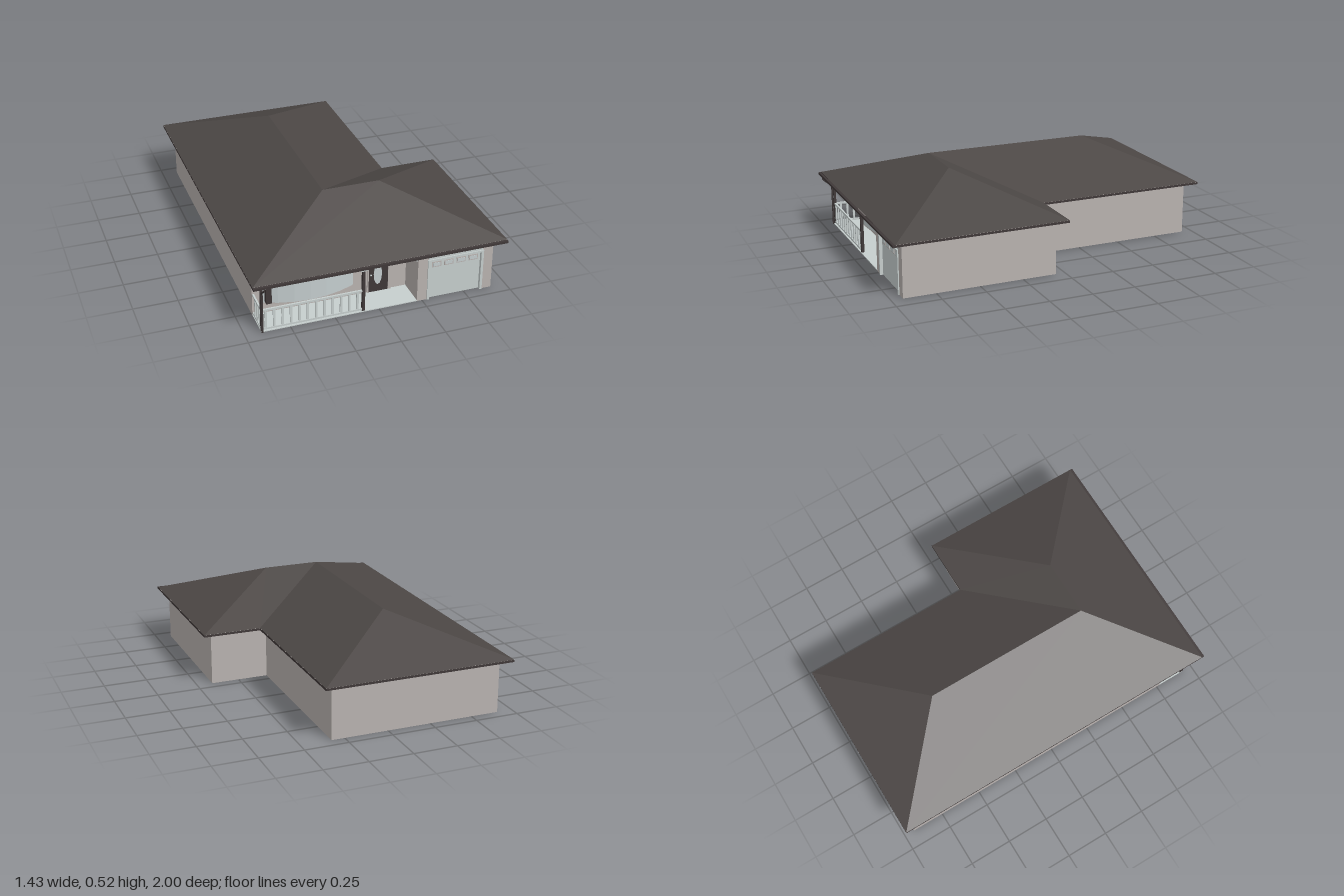
import * as THREE from 'three';

const mat = (name, color, side = THREE.FrontSide) => {
  const m = new THREE.MeshStandardMaterial({ color, side });
  m.name = name;
  return m;
};

export function createModel() {
  const house = new THREE.Group();
  house.name = 'house';
  const wallMat = mat('warm grey wall', 0xb8b2af);
  const roofMat = mat('dark roof', 0x4c4745);
  const darkMat = mat('dark trim', 0x3f3838);
  const paleMat = mat('pale trim', 0xc6cecd);
  const glassMat = mat('window glass', 0xc3cccd, THREE.DoubleSide);
  const ceilingMat = mat('ceiling', 0x676462);

  const add = (name, geometry, material, parent = house) => {
    const mesh = new THREE.Mesh(geometry, material);
    mesh.name = name;
    parent.add(mesh);
    return mesh;
  };
  // Box given by its low and high corners
  const box = (name, material, x0, x1, y0, y1, z0, z1, parent) => {
    const g = new THREE.BoxGeometry(x1 - x0, y1 - y0, z1 - z0);
    g.translate((x0 + x1) / 2, (y0 + y1) / 2, (z0 + z1) / 2);
    return add(name, g, material, parent);
  };
  const group = (name) => {
    const g = new THREE.Group();
    g.name = name;
    house.add(g);
    return g;
  };
  // Flat outline in plan, as [x, z] pairs
  const plan = (pts) => new THREE.Shape(pts.map(([x, z]) => new THREE.Vector2(x, z)));

  // Roof slopes: eave and ridge corners, each face a fan turned upward
  const E = 0.32, R = 0.525;
  const BL = [-0.715, E, -1], BR = [0.38, E, -1], IN = [0.38, E, 0], WR = [0.715, E, 0];
  const FR = [0.715, E, 0.985], FL = [-0.715, E, 0.985];
  const RB = [-0.165, R, -0.5], RF = [-0.165, R, 0.485], RW = [0.165, R, 0.485];
  const faces = [[BL, FL, RF, RB], [BL, RB, BR], [BR, RB, RF, IN],
    [IN, RF, RW, WR], [WR, RW, FR], [FL, FR, RW, RF]];
  const pos = [];
  for (const f of faces)
    for (let i = 1; i < f.length - 1; i++) {
      const [a, b, c] = [f[0], f[i], f[i + 1]];
      const up = (b[2] - a[2]) * (c[0] - a[0]) - (b[0] - a[0]) * (c[2] - a[2]) > 0;
      pos.push(...a, ...(up ? b : c), ...(up ? c : b));
    }
  const roofGeo = new THREE.BufferGeometry();
  roofGeo.setAttribute('position', new THREE.Float32BufferAttribute(pos, 3));
  roofGeo.computeVertexNormals();
  add('roofSlopes', roofGeo, roofMat);

  // Eave slab with pale underside, front gutter, and flat ceiling
  const eave = new THREE.ExtrudeGeometry(
    plan([BL, BR, IN, WR, FR, FL].map((p) => [p[0], p[2]])), { depth: 0.013, bevelEnabled: false });
  eave.rotateX(Math.PI / 2).translate(0, E - 0.0005, 0);
  add('eaves', eave, [wallMat, darkMat]);
  box('gutter', darkMat, -0.715, 0.715, 0.306, 0.319, 0.985, 1);
  const ceiling = new THREE.ShapeGeometry(plan([[-0.655, -0.935], [0.32, -0.935], [0.32, 0.06],
    [0.655, 0.06], [0.655, 0.93], [0.225, 0.93], [0.225, 0.768], [-0.655, 0.768]]));
  ceiling.rotateX(Math.PI / 2).translate(0, 0.304, 0);
  add('ceiling', ceiling, ceilingMat);

  // Outer walls
  const H = 0.308, T = 0.005, P = 0.77, F = 0.935;
  const walls = group('walls');
  box('leftWall', wallMat, -0.66, -0.66 + T, 0, H, -0.94, P, walls);
  box('backWall', wallMat, -0.66, 0.325, 0, H, -0.94, -0.94 + T, walls);
  box('innerRightWall', wallMat, 0.325 - T, 0.325, 0, H, -0.94, 0.055, walls);
  box('wingBackWall', wallMat, 0.325 - T, 0.66, 0, H, 0.055, 0.055 + T, walls);
  box('wingRightWall', wallMat, 0.66 - T, 0.66, 0, H, 0.055, F, walls);
  box('porchSideWall', wallMat, 0.22, 0.22 + T, 0, H, P - T, F, walls);
  // Porch wall around the bow window and door
  const W0 = -0.61, W1 = -0.09, WY0 = 0.072, WY1 = 0.275;
  box('porchWallEnd', wallMat, -0.66, W0, 0, H, P - T, P, walls);
  box('porchWallSill', wallMat, W0, W1, 0, WY0, P - T, P, walls);
  box('porchWallHead', wallMat, W0, W1, WY1, H, P - T, P, walls);
  box('porchWallRight', wallMat, W1, 0.22, 0, H, P - T, P, walls);
  // Garage front around its door
  box('garageWallLeft', wallMat, 0.22, 0.28, 0, H, F - T, F, walls);
  box('garageWallRight', wallMat, 0.6, 0.66, 0, H, F - T, F, walls);
  box('garageWallHead', paleMat, 0.28, 0.6, 0.24, H, F - T, F, walls);

  // Bow window: faceted curved glass, flat sill and head
  const win = group('bowWindow');
  const half = (W1 - W0) / 2, sag = 0.06, rad = (half * half + sag * sag) / (2 * sag);
  const ang = Math.asin(half / rad), cx = (W0 + W1) / 2, cz = P + sag - rad;
  const glass = new THREE.CylinderGeometry(rad, rad, WY1 - WY0, 6, 1, true, -ang, 2 * ang).toNonIndexed();
  glass.computeVertexNormals();
  glass.translate(cx, (WY0 + WY1) / 2, cz);
  add('windowGlass', glass, glassMat, win);
  const arc = [];
  for (let i = 0; i <= 6; i++) {
    const a = -ang + (i * ang) / 3;
    arc.push([cx + rad * Math.sin(a), cz + rad * Math.cos(a)]);
  }
  for (const [name, y] of [['windowSill', WY0], ['windowHead', WY1 + 0.005]]) {
    const g = new THREE.ExtrudeGeometry(plan(arc), { depth: 0.005, bevelEnabled: false });
    g.rotateX(Math.PI / 2).translate(0, y, 0);
    add(name, g, wallMat, win);
  }
  box('shutter', darkMat, -0.593, -0.562, 0.08, 0.27, P - 0.008, P + 0.04, win);

  // Front door with clipped top corners, oval light, frame and knob
  const door = group('frontDoor');
  const panel = new THREE.Shape();
  panel.moveTo(0, 0).lineTo(0.113, 0).lineTo(0.113, 0.205)
    .quadraticCurveTo(0.11, 0.228, 0.09, 0.23).lineTo(0.02, 0.23).quadraticCurveTo(0, 0.228, 0, 0.205);
  const doorGeo = new THREE.ExtrudeGeometry(panel, { depth: 0.016, bevelEnabled: false });
  doorGeo.translate(0, 0, P - 0.01);
  add('doorPanel', doorGeo, darkMat, door);
  const oval = new THREE.CylinderGeometry(1, 1, 0.02, 12);
  oval.rotateX(Math.PI / 2).scale(0.024, 0.066, 1).translate(0.053, 0.115, P - 0.002);
  add('doorLight', oval, glassMat, door);
  box('doorFrameLeft', wallMat, -0.008, 0, 0, 0.235, P, P + 0.008, door);
  box('doorFrameRight', wallMat, 0.113, 0.13, 0, 0.235, P, P + 0.008, door);
  box('doorFrameTop', wallMat, -0.008, 0.13, 0.23, 0.238, P, P + 0.008, door);
  const knob = new THREE.SphereGeometry(0.005, 10, 8);
  knob.translate(0.012, 0.115, P + 0.01);
  add('doorKnob', knob, paleMat, door);

  // Garage door with frame and a row of small windows
  const garage = group('garageDoor');
  box('garagePanel', paleMat, 0.29, 0.59, 0, 0.24, F - 0.02, F - 0.012, garage);
  box('garageFrameLeft', paleMat, 0.276, 0.29, 0, 0.25, F - 0.02, F + 0.006, garage);
  box('garageFrameRight', paleMat, 0.59, 0.604, 0, 0.25, F - 0.02, F + 0.006, garage);
  box('garageFrameTop', paleMat, 0.276, 0.604, 0.238, 0.25, F - 0.02, F + 0.006, garage);
  for (let i = 0; i < 4; i++) {
    const x = 0.305 + i * 0.072;
    box('garageWindowTrim', wallMat, x, x + 0.054, 0.192, 0.225, F - 0.013, F - 0.009, garage);
    box('garageWindow', glassMat, x + 0.006, x + 0.048, 0.198, 0.219, F - 0.023, F - 0.007, garage);
  }

  // Porch floor, scalloped valance and posts
  const porch = group('porch');
  box('porchFloor', paleMat, -0.66, 0.22, 0, 0.005, P, F, porch);
  const valance = new THREE.Shape();
  valance.moveTo(-0.655, H).lineTo(-0.655, 0.25);
  for (const [a, b] of [[-0.645, -0.37], [-0.37, -0.095], [-0.08, 0.22]]) {
    valance.lineTo(a, 0.25);
    valance.quadraticCurveTo((a + b) / 2, 0.302, b, 0.25);
  }
  valance.lineTo(0.22, H);
  const valGeo = new THREE.ExtrudeGeometry(valance, { depth: 0.008, bevelEnabled: false, curveSegments: 10 });
  valGeo.translate(0, 0, 0.92);
  add('valance', valGeo, paleMat, porch);
  box('cornerPost', darkMat, -0.66, -0.646, 0, H, 0.916, 0.93, porch);
  box('middlePost', darkMat, -0.096, -0.08, 0, 0.25, 0.916, 0.932, porch);

  // Downspout from the gutter to the corner
  const spout = new THREE.CurvePath();
  const bends = [[0.992, 0.308], [0.992, 0.29], [0.937, 0.245], [0.937, 0]]
    .map(([z, y]) => new THREE.Vector3(-0.655, y, z));
  for (let i = 0; i < 3; i++) spout.add(new THREE.LineCurve3(bends[i], bends[i + 1]));
  add('downspout', new THREE.TubeGeometry(spout, 24, 0.005, 8), darkMat, porch);

  // Railings along the front and the open side
  for (const y of [0.008, 0.123]) {
    box('frontRail', paleMat, -0.648, -0.094, y, y + 0.011, 0.918, 0.928, porch);
    box('sideRail', paleMat, -0.658, -0.648, y, y + 0.011, P, 0.918, porch);
  }
  for (let i = 0; i < 12; i++) {
    const x = -0.632 + i * 0.0465;
    box('frontBaluster', paleMat, x - 0.006, x + 0.006, 0.01, 0.125, 0.919, 0.927, porch);
  }
  for (let i = 0; i < 3; i++) {
    const z = 0.807 + i * 0.04;
    box('sideBaluster', paleMat, -0.657, -0.649, 0.01, 0.125, z - 0.006, z + 0.006, porch);
  }
  return house;
}
